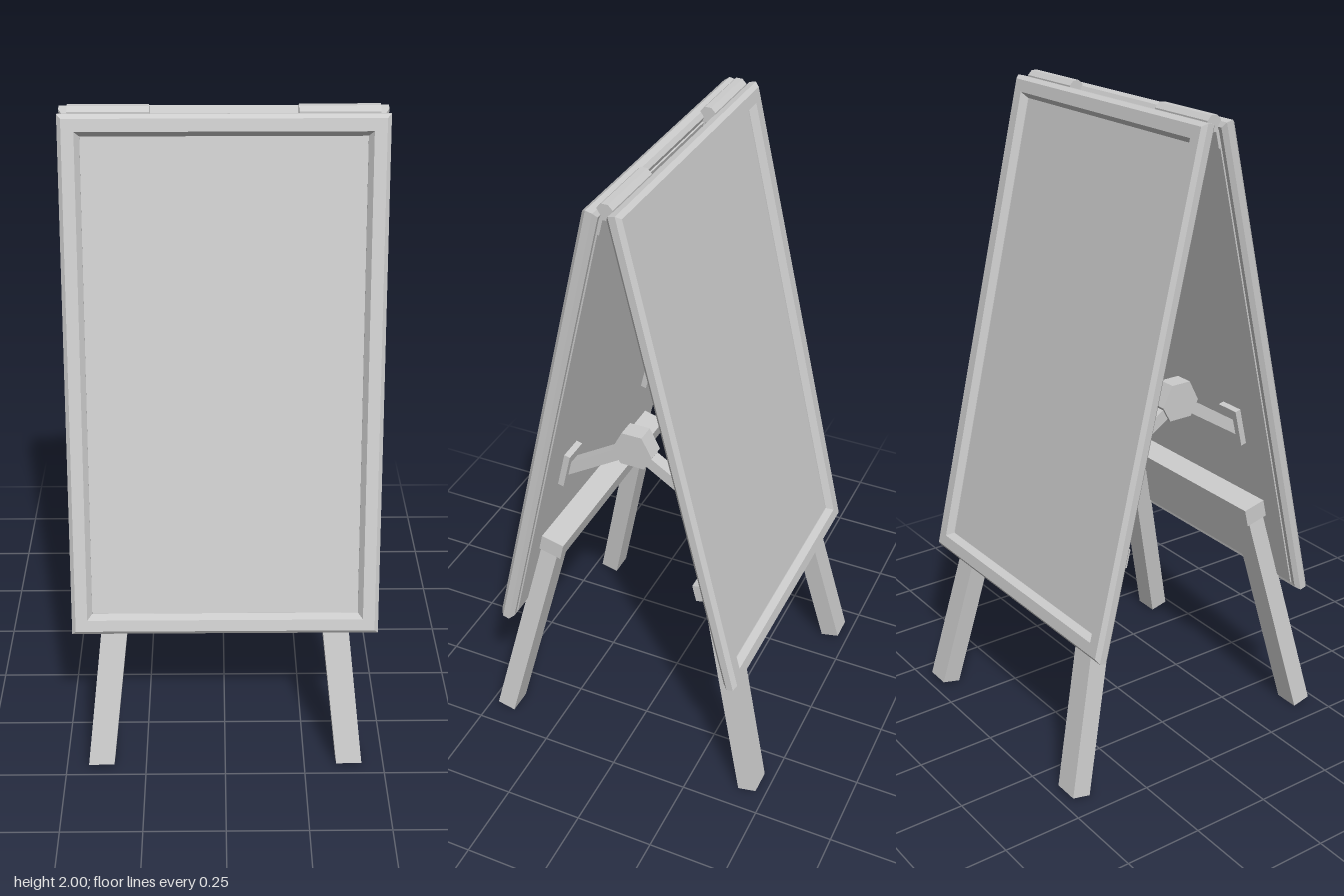
import * as THREE from 'three';

const TILT = 0.23, TOP = 1.985;
const material = new THREE.MeshStandardMaterial({ color: 0xcccccc, flatShading: true });

function add(parent, name, geometry, x = 0, y = 0, z = 0) {
  const mesh = new THREE.Mesh(geometry, material);
  mesh.name = name;
  mesh.position.set(x, y, z);
  parent.add(mesh);
  return mesh;
}

// Box given by its extents
function block(parent, name, [x0, x1], [y0, y1], [z0, z1]) {
  return add(parent, name, new THREE.BoxGeometry(x1 - x0, y1 - y0, z1 - z0),
    (x0 + x1) / 2, (y0 + y1) / 2, (z0 + z1) / 2);
}

function extrude(points, depth) {
  const shape = new THREE.Shape(points.map(([x, y]) => new THREE.Vector2(x, y)));
  return new THREE.ExtrudeGeometry(shape, { depth, bevelEnabled: false });
}

// Mitred moulding: a profile of [inset, z] carried round a rectangle
function mouldingGeometry(halfWidth, bottom, top, profile) {
  const positions = [], index = [], n = profile.length;
  for (const [sx, sy] of [[-1, -1], [1, -1], [1, 1], [-1, 1]]) {
    for (const [inset, z] of profile) {
      positions.push(sx * (halfWidth - inset), sy < 0 ? bottom + inset : top - inset, z);
    }
  }
  for (let c = 0; c < 4; c++) {
    for (let k = 0; k < n; k++) {
      const c2 = (c + 1) % 4, k2 = (k + 1) % n;
      const a = c * n + k, b = c2 * n + k, d = c2 * n + k2, e = c * n + k2;
      index.push(a, b, d, a, d, e);
    }
  }
  const indexed = new THREE.BufferGeometry();
  indexed.setAttribute('position', new THREE.Float32BufferAttribute(positions, 3));
  indexed.setIndex(index);
  const geometry = indexed.toNonIndexed();
  geometry.computeVertexNormals();
  return geometry;
}

// One leaning half: framed board, rail, legs and fittings
function createHalf(name) {
  const half = new THREE.Group();
  half.name = name;

  // Local y runs up the slope, local z points outward from the board
  const leaf = new THREE.Group();
  leaf.name = 'leaningPanel';
  leaf.position.y = TOP;
  leaf.rotation.x = -TILT;
  half.add(leaf);

  add(leaf, 'frame', mouldingGeometry(0.467, -1.566, -0.008, [
    [0, 0.02], [0, 0.041], [0.012, 0.053], [0.048, 0.053],
    [0.062, 0.032], [0.062, 0.014], [0.012, 0.008],
  ]));
  block(leaf, 'board', [-0.44, 0.44], [-1.54, -0.035], [0.005, 0.03]);
  block(leaf, 'crossRail', [-0.37, 0.37], [-1.313, -1.256], [-0.07, 0.008]);

  for (const s of [-1, 1]) {
    // Splayed leg
    const corners = [[0.27, -1.29], [0.35, -1.29], [0.43, -2.026], [0.35, -2.026]];
    add(leaf, 'leg', extrude(corners.map(([x, y]) => [s * x, y]), 0.061), 0, 0, -0.052);

    const mirrored = (a, b) => [Math.min(s * a, s * b), Math.max(s * a, s * b)];
    block(leaf, 'hingeLeaf', mirrored(0.21, 0.44), [-0.08, -0.02], [0, 0.01]);
    block(leaf, 'bracePlate', mirrored(0.25, 0.33), [-1.06, -0.94], [-0.014, 0.008]);

    // Arm from the central knuckle down to the plate
    const from = new THREE.Vector2(0.03, 1.125), to = new THREE.Vector2(0.235, 0.995);
    const arm = add(half, 'braceArm', new THREE.BoxGeometry(0.04, 0.036, from.distanceTo(to)),
      s * 0.29, (from.y + to.y) / 2, (from.x + to.x) / 2);
    arm.rotation.x = Math.atan2(from.y - to.y, to.x - from.x);
  }
  return half;
}

export function createModel() {
  const model = new THREE.Group();
  model.name = 'pavementSign';

  const front = createHalf('frontHalf');
  const back = createHalf('backHalf');
  back.rotation.y = Math.PI;
  model.add(front, back);

  const knuckle = [[-0.038, 1.09], [0.038, 1.09], [0.064, 1.137], [0.032, 1.2], [-0.032, 1.2], [-0.064, 1.137]];
  for (const s of [-1, 1]) {
    // Folding joint of the brace
    const hub = add(model, 'braceKnuckle', extrude(knuckle, 0.056), s * 0.29 - 0.028);
    hub.rotation.y = Math.PI / 2;

    // Hinge barrel along the ridge
    const barrel = new THREE.CylinderGeometry(0.025, 0.025, 0.23, 8);
    barrel.rotateY(Math.PI / 8).rotateZ(Math.PI / 2);
    add(model, 'hingeBarrel', barrel, s * 0.325, 1.977, 0);
  }
  return model;
}
